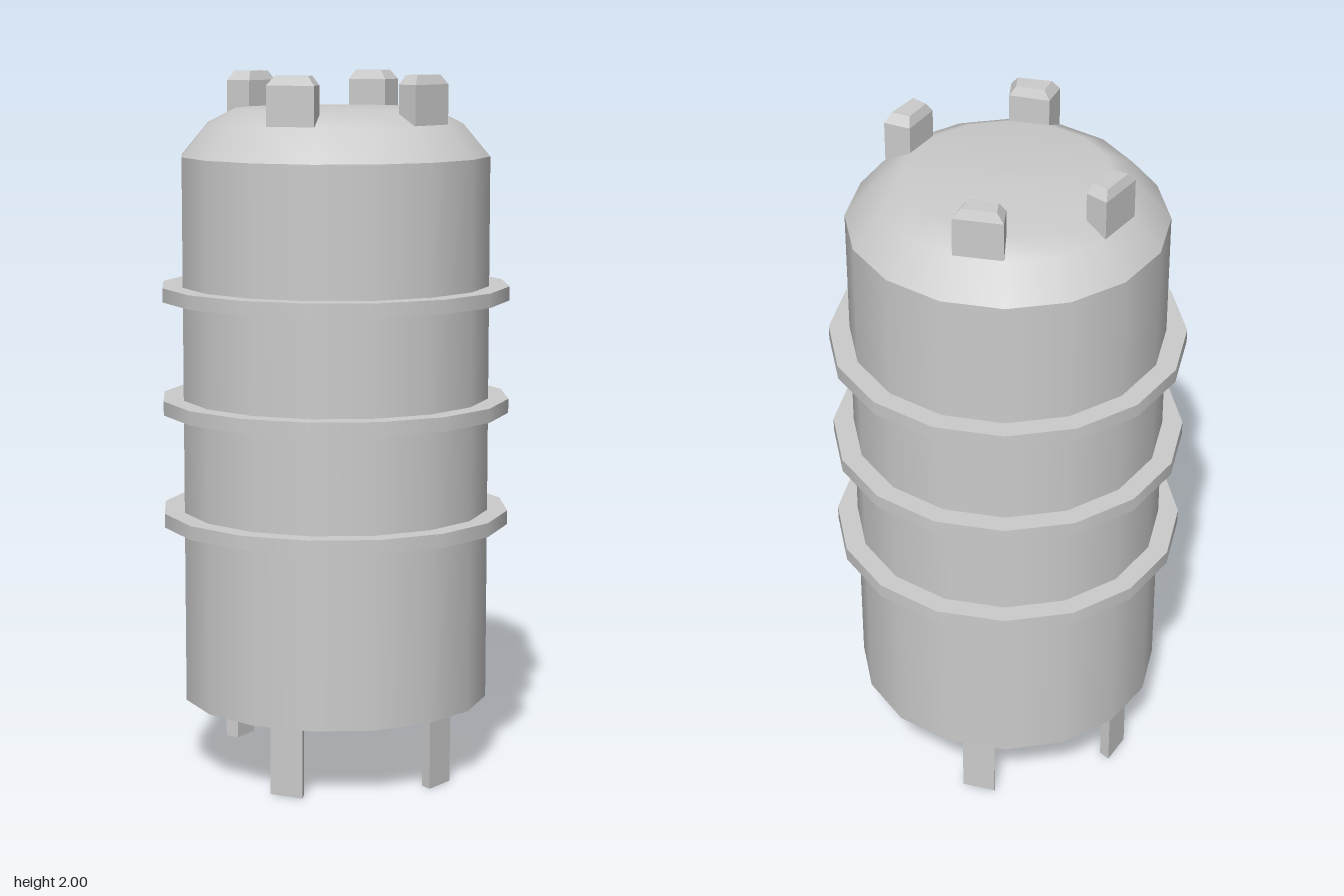
import * as THREE from 'three';
import { ConvexGeometry } from 'three/addons/geometries/ConvexGeometry.js';

const SIDES = 16;

export function createModel() {
  const group = new THREE.Group();
  const material = new THREE.MeshStandardMaterial({ color: 0xcccccc });

  const add = (name, geometry, y = 0) => {
    const mesh = new THREE.Mesh(geometry, material);
    mesh.name = name;
    mesh.position.y = y;
    group.add(mesh);
  };

  // Solid block from a four-cornered plan; each layer is [height, plan scale]
  const block = (plan, layers, sx, sz) => {
    const cx = plan.reduce((s, p) => s + p[0], 0) / plan.length;
    const cz = plan.reduce((s, p) => s + p[1], 0) / plan.length;
    const points = layers.flatMap(([y, k]) => plan.map(([x, z]) =>
      new THREE.Vector3(sx * (cx + (x - cx) * k), y, sz * (cz + (z - cz) * k))));
    return new ConvexGeometry(points);
  };

  // Tank wall with flat floor
  const bottom = 0.205, shoulder = 1.768, radius = 0.442;
  add('tankBody', new THREE.CylinderGeometry(radius, radius, shoulder - bottom, SIDES),
    (bottom + shoulder) / 2);

  // Rounded lid
  const dome = [[radius, shoulder], [0.365, 1.86], [0.285, 1.9], [0, 1.905]]
    .map(([r, y]) => new THREE.Vector2(r, y));
  add('domeLid', new THREE.LatheGeometry(dome, SIDES));

  // Three reinforcing bands
  [0.736, 1.06, 1.382].forEach((y, i) =>
    add(`band${i + 1}`, new THREE.CylinderGeometry(0.5, 0.5, 0.04, SIDES), y));

  // Legs and bevelled lifting lugs, mirrored into each quarter
  const legPlan = [[0.185, 0.363], [0.262, 0.302], [0.232, 0.277], [0.172, 0.33]];
  const lugPlan = [[0.142, 0.334], [0.257, 0.259], [0.203, 0.205], [0.112, 0.274]];
  for (const [sx, side] of [[1, 'Left'], [-1, 'Right']]) {
    for (const [sz, end] of [[1, 'front'], [-1, 'back']]) {
      add(`${end}${side}Leg`, block(legPlan, [[0, 1], [0.22, 1]], sx, sz));
      add(`${end}${side}Lug`, block(lugPlan, [[1.863, 1], [1.974, 1], [2, 0.7]], sx, sz));
    }
  }
  return group;
}
